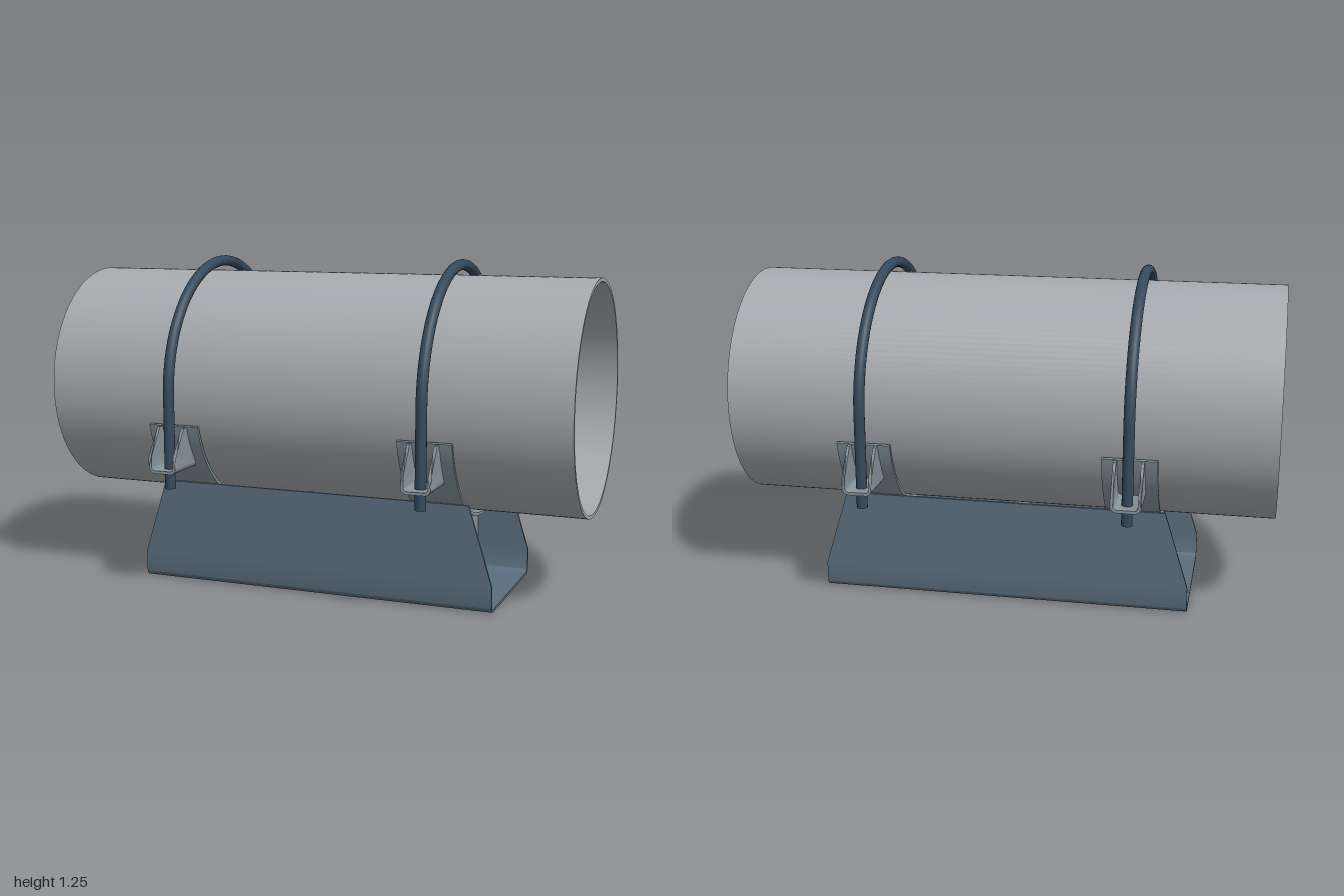
import * as THREE from 'three';
import { toCreasedNormals } from 'three/addons/utils/BufferGeometryUtils.js';

const AXIS_Y = 0.755;      // height of the pipe axis
const SADDLE_OUT = 0.455;  // outer radius of the saddle straps
const BOLT_X = 0.485;

const mat = (color) => new THREE.MeshStandardMaterial({ color });
const pipeMat = mat(0xa6a9ad);
const clampMat = mat(0x87949c);
const baseMat = mat(0x5a6e7e);
const boltMat = mat(0x34495c);

function mesh(name, geometry, material) {
  const m = new THREE.Mesh(geometry, material);
  m.name = name;
  return m;
}

// Extrude a (z, y) outline along x, centred on x = 0
function extrudeX(shape, length, segments = 12) {
  const g = new THREE.ExtrudeGeometry(shape, { depth: length, bevelEnabled: false, curveSegments: segments });
  g.translate(0, 0, -length / 2);
  g.rotateY(-Math.PI / 2);
  return g;
}

// Move vertices by a rule and rebuild the normals
function reshape(g, rule) {
  const p = g.attributes.position;
  const v = new THREE.Vector3();
  for (let i = 0; i < p.count; i++) {
    rule(v.fromBufferAttribute(p, i));
    p.setXYZ(i, v.x, v.y, v.z);
  }
  return toCreasedNormals(g, 0.6);
}

// U-shaped sheet outline with rounded lower corners; levels are extra heights on the walls
function uProfile(half, bottom, t, r, levels) {
  const s = new THREE.Shape();
  const up = [...levels];
  const down = [...levels].reverse();
  s.moveTo(-half + r, bottom);
  s.lineTo(half - r, bottom);
  s.absarc(half - r, bottom + r, r, -Math.PI / 2, 0, false);
  up.forEach((y) => s.lineTo(half, y));
  down.forEach((y) => s.lineTo(half - t, y));
  s.absarc(half - r, bottom + r, r - t, 0, -Math.PI / 2, true);
  s.lineTo(-half + r, bottom + t);
  s.absarc(-half + r, bottom + r, r - t, -Math.PI / 2, -Math.PI, true);
  up.forEach((y) => s.lineTo(-half + t, y));
  down.forEach((y) => s.lineTo(-half, y));
  s.absarc(-half + r, bottom + r, r, Math.PI, Math.PI * 1.5, false);
  return s;
}

function makePipe() {
  const s = new THREE.Shape().absarc(0, AXIS_Y, 0.433, 0, Math.PI * 2);
  s.holes.push(new THREE.Path().absarc(0, AXIS_Y, 0.42, 0, Math.PI * 2, true));
  return mesh('pipe', toCreasedNormals(extrudeX(s, 2, 64), 0.6), pipeMat);
}

// Folded channel whose walls taper towards the top
function makeBase() {
  const g = extrudeX(uProfile(0.285, 0, 0.01, 0.028, [0.1, 0.39]), 2);
  return mesh('baseChannel', reshape(g, (v) => {
    v.x *= 0.695 - 0.09 * Math.max(0, (v.y - 0.1) / 0.29);
  }), baseMat);
}

// Cross plate inside the channel, cut out for the strap
function makeWeb() {
  const w = 0.275, c = 0.025, b = 0.01;
  const a = Math.acos(w / SADDLE_OUT);
  const s = new THREE.Shape();
  s.moveTo(-w + c, b);
  s.lineTo(w - c, b);
  s.lineTo(w, b + c);
  s.absarc(0, AXIS_Y, SADDLE_OUT, -a, -Math.PI + a, true);
  s.lineTo(-w, b + c);
  return mesh('crossWeb', toCreasedNormals(extrudeX(s, 0.014, 40), 0.6), clampMat);
}

// Curved strap below the pipe
function makeSaddle() {
  const a = Math.asin((AXIS_Y - 0.635) / SADDLE_OUT);
  const s = new THREE.Shape();
  s.absarc(0, AXIS_Y, SADDLE_OUT, -a, -Math.PI + a, true);
  s.absarc(0, AXIS_Y, 0.444, -Math.PI + a, -a, false);
  return mesh('saddleStrap', toCreasedNormals(extrudeX(s, 0.2, 48), 0.6), clampMat);
}

// Folded lug: inner edge follows the strap, outer edge slopes back above y = 0.53
function makeLug() {
  const profile = uProfile(0.055, 0.47, 0.011, 0.024, [0.53, 0.555, 0.58, 0.605, 0.632]);
  const g = new THREE.ExtrudeGeometry(profile, { depth: 1, bevelEnabled: false, curveSegments: 6 });
  return mesh('boltLug', reshape(g, (v) => {
    const inner = Math.sqrt(SADDLE_OUT ** 2 - (AXIS_Y - v.y) ** 2) - 0.003;
    const outer = 0.53 - 0.07 * Math.max(0, (v.y - 0.53) / 0.102);
    v.z = v.z > 0.5 ? outer : inner;
  }), clampMat);
}

// Half-round bolt with two straight legs
function makeUBolt() {
  const g = new THREE.Group();
  g.name = 'uBolt';
  const R = 0.47, r = 0.02, end = 0.405;
  const bow = mesh('boltBow', new THREE.TorusGeometry(R, r, 16, 64, Math.PI), boltMat);
  bow.rotation.y = -Math.PI / 2;
  bow.position.y = AXIS_Y;
  g.add(bow);
  for (const side of [-1, 1]) {
    const leg = mesh('boltLeg', new THREE.CylinderGeometry(r, r, AXIS_Y - end, 16), boltMat);
    leg.position.set(0, (AXIS_Y + end) / 2, side * R);
    g.add(leg);
  }
  return g;
}

export function createModel() {
  const model = new THREE.Group();
  model.name = 'pipeSupport';
  model.add(makePipe(), makeBase());

  for (const x of [-BOLT_X, 0, BOLT_X]) {
    const web = makeWeb();
    web.position.x = x;
    model.add(web);
  }

  // One clamp near each end of the base
  for (const x of [-BOLT_X, BOLT_X]) {
    const clamp = new THREE.Group();
    clamp.name = 'clamp';
    const frontLug = makeLug();
    const backLug = makeLug();
    backLug.rotation.y = Math.PI;
    clamp.add(makeSaddle(), frontLug, backLug, makeUBolt());
    clamp.position.x = x;
    model.add(clamp);
  }
  return model;
}
